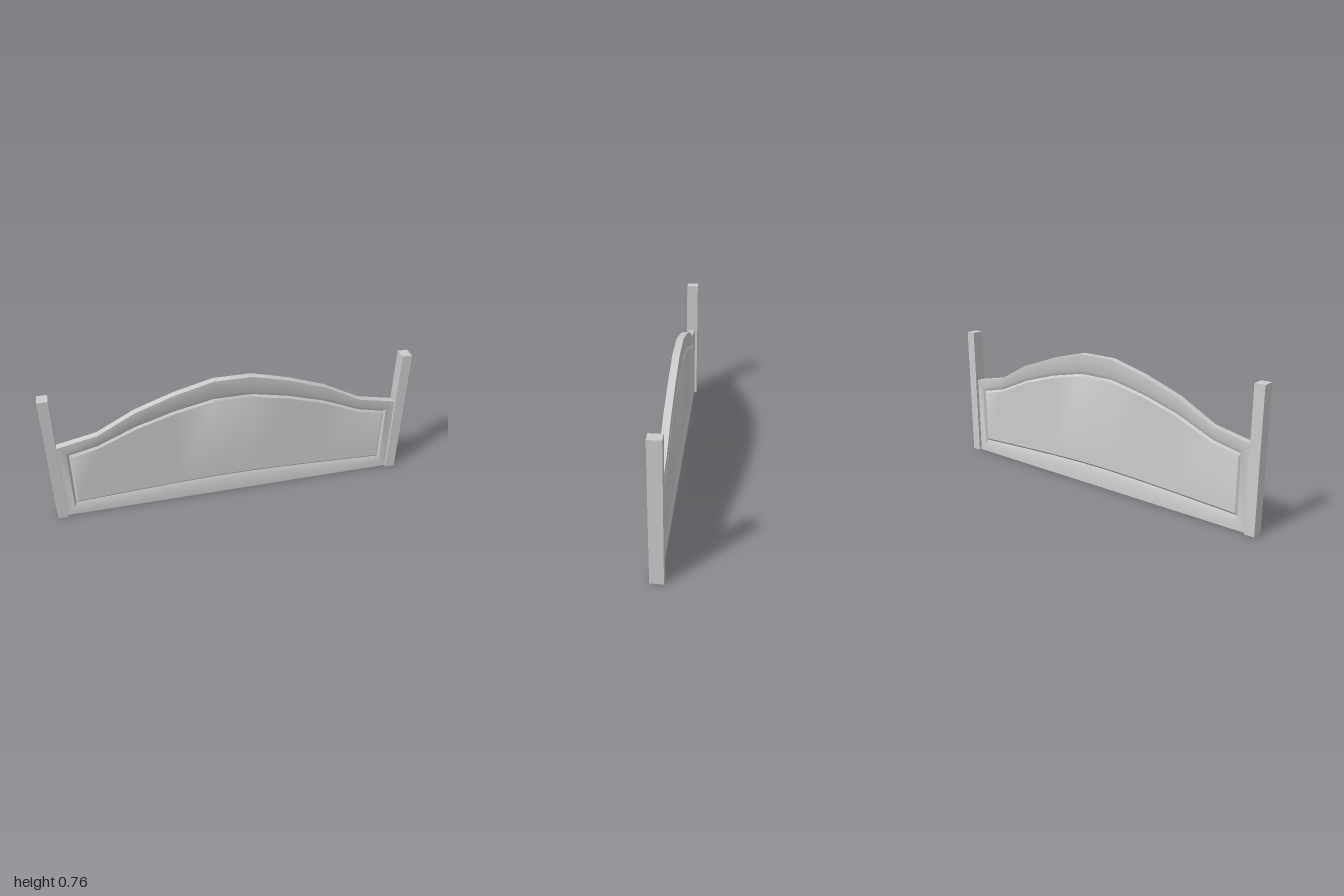
import * as THREE from 'three';
import { toCreasedNormals } from 'three/addons/utils/BufferGeometryUtils.js';

const material = new THREE.MeshStandardMaterial({ color: 0xcccccc, side: THREE.DoubleSide });

// Half profiles from the end (first) to the centre
const STATIONS = [0.945, 0.73, 0.525, 0.315, 0.105];
const CREST = [0.46, 0.505, 0.615, 0.69, 0.745];
const GROOVE_TOP = [0.398, 0.435, 0.524, 0.588, 0.632];
const GROOVE_BOTTOM = [0.075, 0.083, 0.093, 0.102, 0.108];

// Closed loop: bottom edge left to right, then top edge right to left
function ring(endX, bottom, top, z) {
  const xs = [endX, ...STATIONS.slice(1)];
  const point = (i, ys, sign) => [sign * xs[i], ys[i], z];
  const row = (ys) => [
    ...xs.map((_, i) => point(i, ys, -1)),
    ...xs.map((_, i) => point(i, ys, 1)).reverse(),
  ];
  return [...row(bottom), ...row(top).reverse()];
}

const shift = (ys, d) => ys.map((y) => y + d);

function panelBoard() {
  const positions = [];
  const quad = (a, b, c, d) => positions.push(...a, ...b, ...c, ...a, ...c, ...d);

  // Frame edge, frame lip, groove, raised panel edge
  const rings = [
    ring(0.945, [0, 0, 0, 0, 0], CREST, 0.019),
    ring(0.9, shift(GROOVE_BOTTOM, -0.025), shift(GROOVE_TOP, 0.02), 0.019),
    ring(0.888, GROOVE_BOTTOM, GROOVE_TOP, 0.008),
    ring(0.88, shift(GROOVE_BOTTOM, 0.012), shift(GROOVE_TOP, -0.013), 0.017),
  ];
  const back = ([x, y, z]) => [x, y, -z];
  const bothSides = (a, b, c, d) => {
    quad(a, b, c, d);
    quad(back(d), back(c), back(b), back(a));
  };

  // Frame and moulding on both faces
  for (let k = 0; k < 3; k++) {
    const outer = rings[k], inner = rings[k + 1];
    outer.forEach((p, i) => {
      const j = (i + 1) % outer.length;
      bothSides(p, outer[j], inner[j], inner[i]);
    });
  }
  // Raised centre panel
  const field = rings[3];
  for (let i = 0; i < 9; i++) bothSides(field[i], field[i + 1], field[18 - i], field[19 - i]);
  // Arched top edge; the underside stays open
  const edge = rings[0];
  for (let i = 10; i < 19; i++) quad(edge[i], back(edge[i]), back(edge[i + 1]), edge[i + 1]);

  const geometry = new THREE.BufferGeometry();
  geometry.setAttribute('position', new THREE.Float32BufferAttribute(positions, 3));
  return toCreasedNormals(geometry, THREE.MathUtils.degToRad(35));
}

// Square post without its underside
function postGeometry() {
  const geometry = new THREE.BoxGeometry(0.055, 0.76, 0.068);
  const index = Array.from(geometry.index.array);
  index.splice(18, 6);
  geometry.setIndex(index);
  geometry.clearGroups();
  return geometry;
}

export function createModel() {
  const group = new THREE.Group();
  group.name = 'headboard';

  const board = new THREE.Mesh(panelBoard(), material);
  board.name = 'archedPanel';
  group.add(board);

  const geometry = postGeometry();
  for (const side of [-1, 1]) {
    const post = new THREE.Mesh(geometry, material);
    post.name = side > 0 ? 'leftPost' : 'rightPost';
    post.position.set(side * 0.9725, 0.38, 0);
    group.add(post);
  }
  return group;
}
